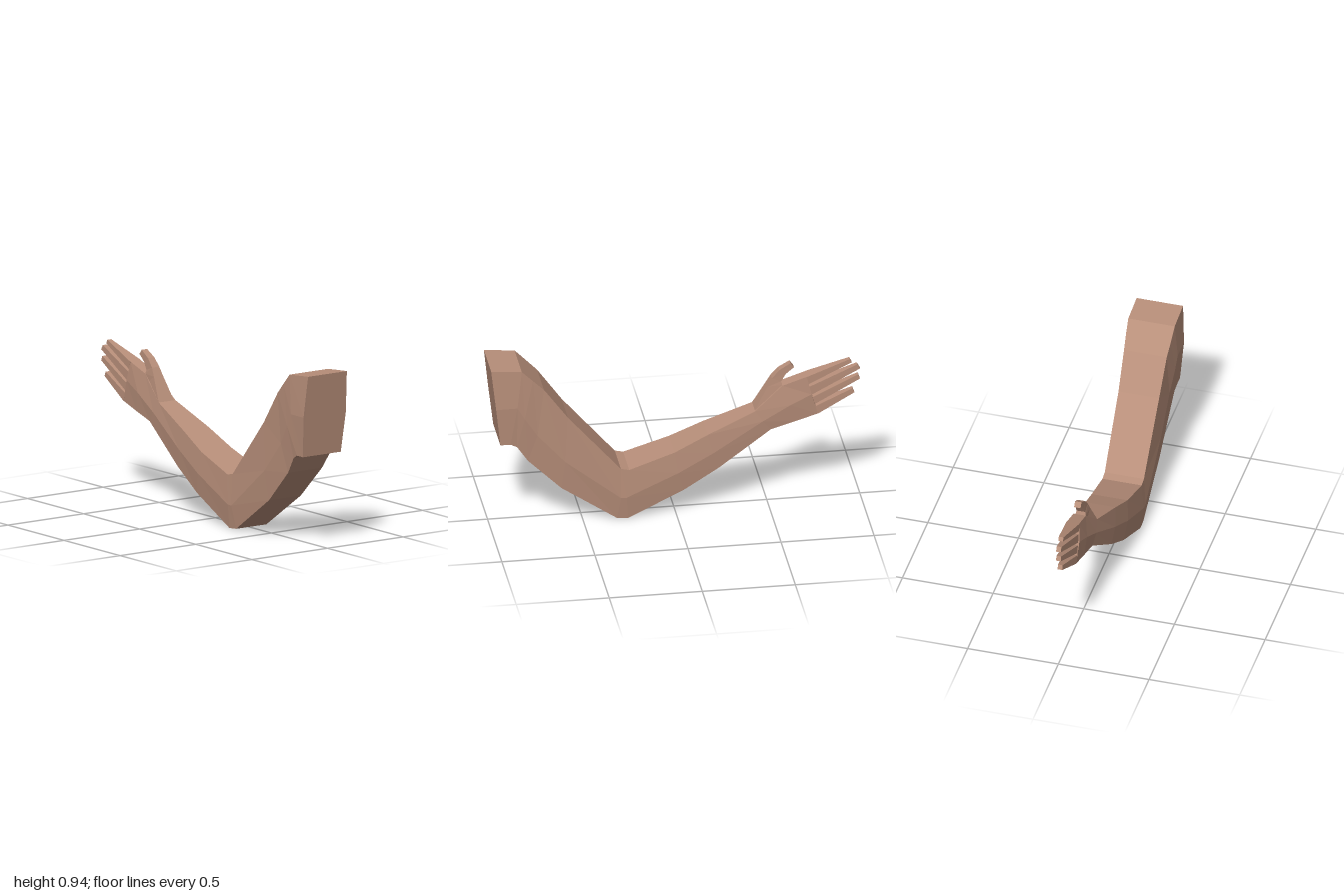
import * as THREE from 'three';

const skin = new THREE.MeshStandardMaterial({ color: 0xb88f7a });
skin.name = 'skin';

// Faceted loft. Each section lists [x, y, halfDepth] from its upper edge to its
// lower edge; the points are mirrored front to back to close the ring.
function loft(name, sections, zShift = 0) {
  const rings = sections.map((s) => [
    ...s.map(([x, y, h]) => [x, y, zShift + h]),
    ...[...s].reverse().map(([x, y, h]) => [x, y, zShift - h]),
  ]);
  const pos = [];
  const tri = (a, b, c) => pos.push(...a, ...b, ...c);
  const n = rings[0].length;
  for (let k = 0; k < rings.length - 1; k++) {
    for (let i = 0; i < n; i++) {
      const j = (i + 1) % n;
      const a = rings[k][i], b = rings[k][j], c = rings[k + 1][j], d = rings[k + 1][i];
      tri(a, b, c);
      tri(a, c, d);
    }
  }
  // end caps
  const first = rings[0], last = rings[rings.length - 1];
  for (let i = 1; i < n - 1; i++) {
    tri(first[0], first[i + 1], first[i]);
    tri(last[0], last[i], last[i + 1]);
  }
  const geo = new THREE.BufferGeometry();
  geo.setAttribute('position', new THREE.Float32BufferAttribute(pos, 3));
  geo.computeVertexNormals();
  const mesh = new THREE.Mesh(geo, skin);
  mesh.name = name;
  return mesh;
}

export function createModel() {
  const arm = new THREE.Group();
  arm.name = 'arm';

  // sections shared by neighbouring parts: upper edge, side ridge, lower edge
  const wrist = [[-0.43, 0.56, 0.055], [-0.47, 0.5, 0.062], [-0.515, 0.445, 0.052]];
  const elbow = [[0.255, 0.29, 0.108], [0.27, 0.13, 0.117], [0.26, 0, 0.1]];

  arm.add(loft('forearm', [
    wrist,
    [[-0.17, 0.453, 0.083], [-0.2, 0.345, 0.09], [-0.23, 0.25, 0.078]],
    [[0.01, 0.37, 0.099], [-0.01, 0.25, 0.107], [-0.04, 0.14, 0.092]],
    elbow,
  ]));

  arm.add(loft('upperArm', [
    elbow,
    [[0.3, 0.3, 0.108], [0.3, 0.13, 0.117], [0.32, 0.005, 0.1]],
    [[0.585, 0.63, 0.112], [0.6, 0.37, 0.12], [0.62, 0.21, 0.105]],
    [[0.715, 0.81, 0.118], [0.75, 0.54, 0.123], [0.8, 0.39, 0.112]],
    [[0.775, 0.87, 0.124], [0.82, 0.65, 0.134], [0.86, 0.48, 0.12]],
    [[0.835, 0.93, 0.128], [0.86, 0.72, 0.138], [0.895, 0.5, 0.125]],
    [[1, 0.945, 0.128], [0.975, 0.72, 0.14], [0.95, 0.5, 0.125]],
  ]));

  const hand = new THREE.Group();
  hand.name = 'hand';
  arm.add(hand);

  hand.add(loft('palm', [
    [[-0.71, 0.733, 0.034], [-0.735, 0.63, 0.042], [-0.77, 0.51, 0.034]],
    [[-0.58, 0.69, 0.034], [-0.62, 0.58, 0.052], [-0.645, 0.477, 0.043]],
    wrist,
  ]));

  // fingers: tip upper, tip lower, base upper, base lower
  [
    ['indexFinger', [-0.945, 0.81], [-0.955, 0.79], [-0.71, 0.733], [-0.72, 0.69]],
    ['middleFinger', [-0.985, 0.775], [-1, 0.75], [-0.72, 0.672], [-0.735, 0.625]],
    ['ringFinger', [-0.99, 0.715], [-1, 0.69], [-0.74, 0.61], [-0.75, 0.567]],
    ['littleFinger', [-0.96, 0.635], [-0.97, 0.61], [-0.755, 0.555], [-0.77, 0.51]],
  ].forEach(([name, tu, tl, bu, bl]) => {
    hand.add(loft(name, [
      [[...tu, 0.013], [...tl, 0.013]],
      [[...bu, 0.036], [...bl, 0.036]],
    ]));
  });

  // thumb curving up from the wrist
  hand.add(loft('thumb', [
    [[-0.625, 0.81, 0.018], [-0.645, 0.785, 0.018]],
    [[-0.565, 0.775, 0.021], [-0.6, 0.75, 0.021]],
    [[-0.525, 0.73, 0.024], [-0.575, 0.71, 0.024]],
    [[-0.5, 0.685, 0.03], [-0.58, 0.69, 0.028]],
    [[-0.43, 0.56, 0.05], [-0.57, 0.64, 0.03]],
  ], 0.005));

  return arm;
}
